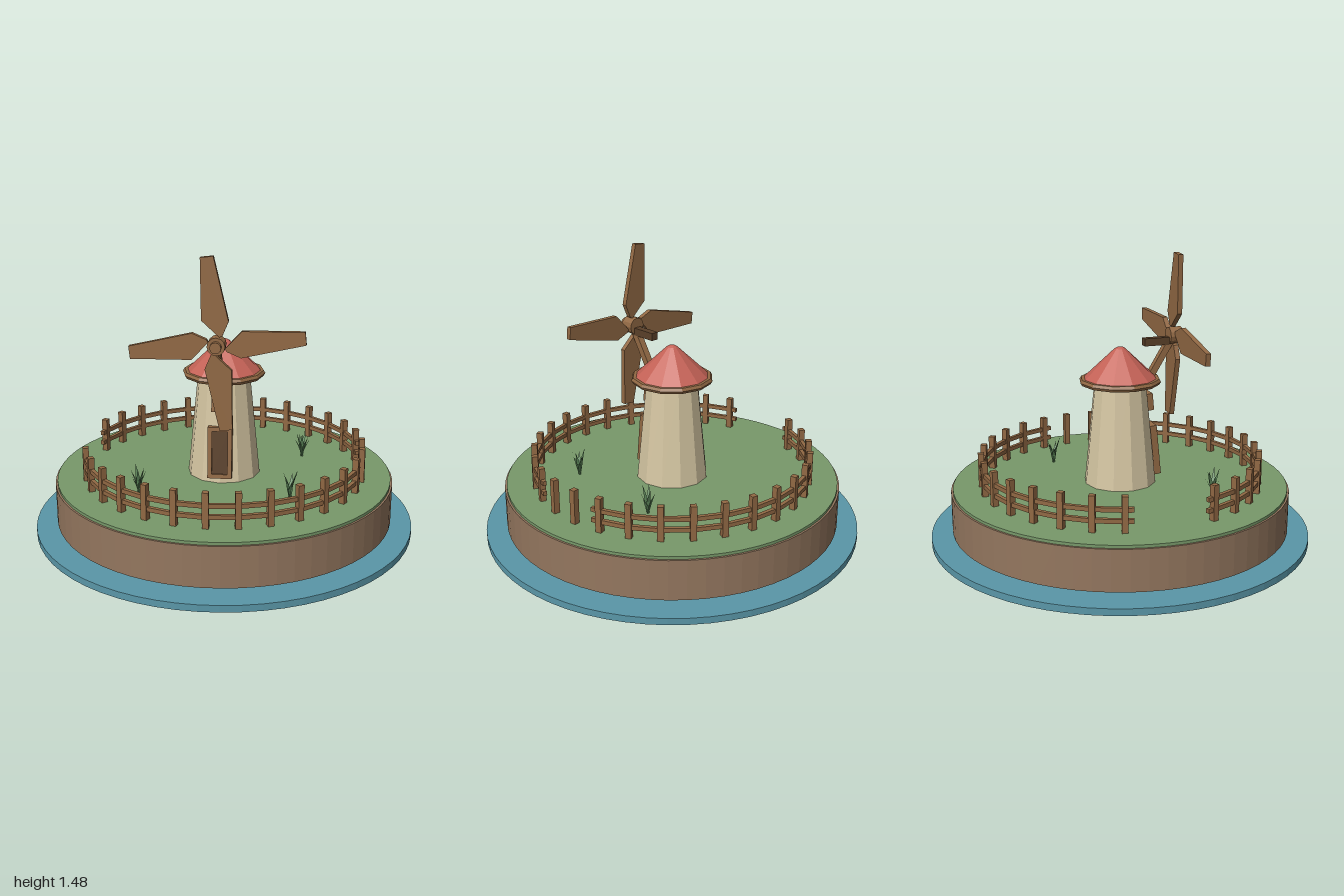
import * as THREE from 'three';

const mat = (name, color, side = THREE.FrontSide) => {
  const m = new THREE.MeshStandardMaterial({ color, side });
  m.name = name;
  m.flatShading = true;
  return m;
};

export function createModel() {
  const model = new THREE.Group();
  model.name = 'windmillIsland';
  const water = mat('waterBlue', 0x5a97a8);
  const dirt = mat('earthBrown', 0x94775f);
  const grass = mat('grassGreen', 0x78996a);
  const leaf = mat('leafGreen', 0x5f8a5c, THREE.DoubleSide);
  const wood = mat('woodBrown', 0x926944);
  const dark = mat('darkWood', 0x5a4029);
  const plaster = mat('creamPlaster', 0xd6c7a3);
  const roofRed = mat('roofRed', 0xc46256);

  const add = (name, geo, material, x = 0, y = 0, z = 0, parent = model) => {
    const mesh = new THREE.Mesh(geo, material);
    mesh.name = name;
    mesh.position.set(x, y, z);
    parent.add(mesh);
    return mesh;
  };
  const group = (name, x = 0, y = 0, z = 0) => {
    const g = new THREE.Group();
    g.name = name;
    g.position.set(x, y, z);
    model.add(g);
    return g;
  };
  const box = (w, h, d) => new THREE.BoxGeometry(w, h, d);
  const cyl = (top, bottom, h, n) => new THREE.CylinderGeometry(top, bottom, h, n);

  // Water disc, floating island and turf
  add('water', cyl(1, 1, 0.035, 64), water, 0, 0.0175);
  add('islandEarth', cyl(0.89, 0.89, 0.21, 64), dirt, 0, 0.165);
  add('turf', cyl(0.88, 0.88, 0.02, 64), grass, 0, 0.275);

  // Twelve-sided tower, roof and eaves ring
  add('tower', cyl(0.135, 0.19, 0.55, 12), plaster, 0, 0.56);
  const roofProfile = [[0, 0.835], [0.195, 0.835], [0.19, 0.846], [0.028, 1.0], [0.015, 1.007], [0, 1.008]]
    .map(([r, y]) => new THREE.Vector2(r, y));
  add('roof', new THREE.LatheGeometry(roofProfile, 12), roofRed);
  const eaves = add('eavesRing', new THREE.TorusGeometry(0.198, 0.017, 6, 12), wood, 0, 0.831);
  eaves.rotation.x = Math.PI / 2;

  // Framed openings leaning with the tower wall
  const opening = (name, w, h, y, z, bar) => {
    const g = group(name, 0, y, z);
    g.rotation.x = -0.1;
    add('panel', box(w - 2 * bar, h - 2 * bar, 0.03), dark, 0, 0, -0.004, g);
    for (const s of [-1, 1]) {
      add('frameSide', box(bar, h, 0.04), wood, s * (w - bar) / 2, 0, 0, g);
      add('frameEnd', box(w - 2 * bar, bar, 0.04), wood, 0, s * (h - bar) / 2, 0, g);
    }
    return g;
  };
  opening('door', 0.125, 0.27, 0.45, 0.176, 0.022);
  const win = opening('window', 0.09, 0.09, 0.71, 0.15, 0.014);
  add('mullion', box(0.008, 0.07, 0.034), wood, 0, 0, 0, win);
  add('transom', box(0.07, 0.008, 0.034), wood, 0, 0, 0, win);

  // Axle and slanted brace
  add('axle', box(0.04, 0.04, 0.15), dark, 0, 1.024, 0.205);
  const brace = add('brace', box(0.035, 0.21, 0.035), wood, 0, 0.93, 0.22);
  brace.rotation.x = Math.atan2(0.11, 0.18);

  // Hub and four tapered sails
  const rotor = group('rotor', 0, 1.05, 0.3);
  const hub = add('hub', cyl(0.045, 0.045, 0.07, 12), wood, 0, 0, 0.002, rotor);
  const nose = add('hubCap', cyl(0.028, 0.028, 0.03, 12), wood, 0, 0, 0.049, rotor);
  hub.rotation.x = nose.rotation.x = Math.PI / 2;
  const outline = [[0.018, 0.04], [0.034, 0.046], [0.071, 0.113], [0.031, 0.433], [-0.033, 0.433], [-0.061, 0.13]]
    .map(([x, y]) => new THREE.Vector2(x, y));
  const sailGeo = new THREE.ExtrudeGeometry(new THREE.Shape(outline), { depth: 0.026, bevelEnabled: false });
  sailGeo.translate(0, 0, -0.013);
  for (let i = 0; i < 4; i++) {
    add('sail', sailGeo, wood, 0, 0, 0, rotor).rotation.z = 0.105 + i * Math.PI / 2;
  }

  // Ring fence: gates on both sides, with two free posts on the left
  const R = 0.73;
  const step = Math.PI / 15;
  const fence = group('fence');
  const post = box(0.031, 0.185, 0.031);
  const addPost = (a) => {
    add('fencePost', post, wood, R * Math.sin(a), 0.3725, R * Math.cos(a), fence).rotation.y = a;
  };
  const addRails = (a0, a1) => {
    const mid = (a0 + a1) / 2;
    const half = (a1 - a0) / 2;
    const r = R * Math.cos(half);
    for (const y of [0.34, 0.396]) {
      const rail = add('fenceRail', box(2 * R * Math.sin(half) + 0.003, 0.022, 0.02), wood,
        r * Math.sin(mid), y, r * Math.cos(mid), fence);
      rail.rotation.y = mid;
    }
  };
  for (const start of [0, Math.PI]) {
    for (let k = -6; k <= 6; k++) {
      addPost(start + k * step);
      if (k < 6) addRails(start + k * step, start + (k + 1) * step);
    }
    addRails(start + 6 * step, start + 6.27 * step);
    addRails(start - 6.27 * step, start - 6 * step);
  }
  addPost(7 * step);
  addPost(8 * step);

  // Tufts of narrow pointed leaves, each bent outward
  const blade = new THREE.BufferGeometry();
  blade.setAttribute('position', new THREE.Float32BufferAttribute(
    [-0.006, 0, 0, 0.006, 0, 0, -0.011, 0.07, 0.012, 0.011, 0.07, 0.012, 0, 0.145, 0.04], 3));
  blade.setIndex([0, 1, 3, 0, 3, 2, 2, 3, 4]);
  blade.computeVertexNormals();
  [[0.405, -0.25], [-0.39, 0.36], [0.37, 0.33]].forEach(([x, z], t) => {
    const tuft = group('grassTuft', x, 0.284, z);
    for (let i = 0; i < 7; i++) {
      const leafMesh = add('leaf', blade, leaf, 0, 0, 0, tuft);
      leafMesh.rotation.y = i * 0.9 + t;
      leafMesh.scale.y = 1 - 0.17 * (i % 3);
    }
  });

  return model;
}
